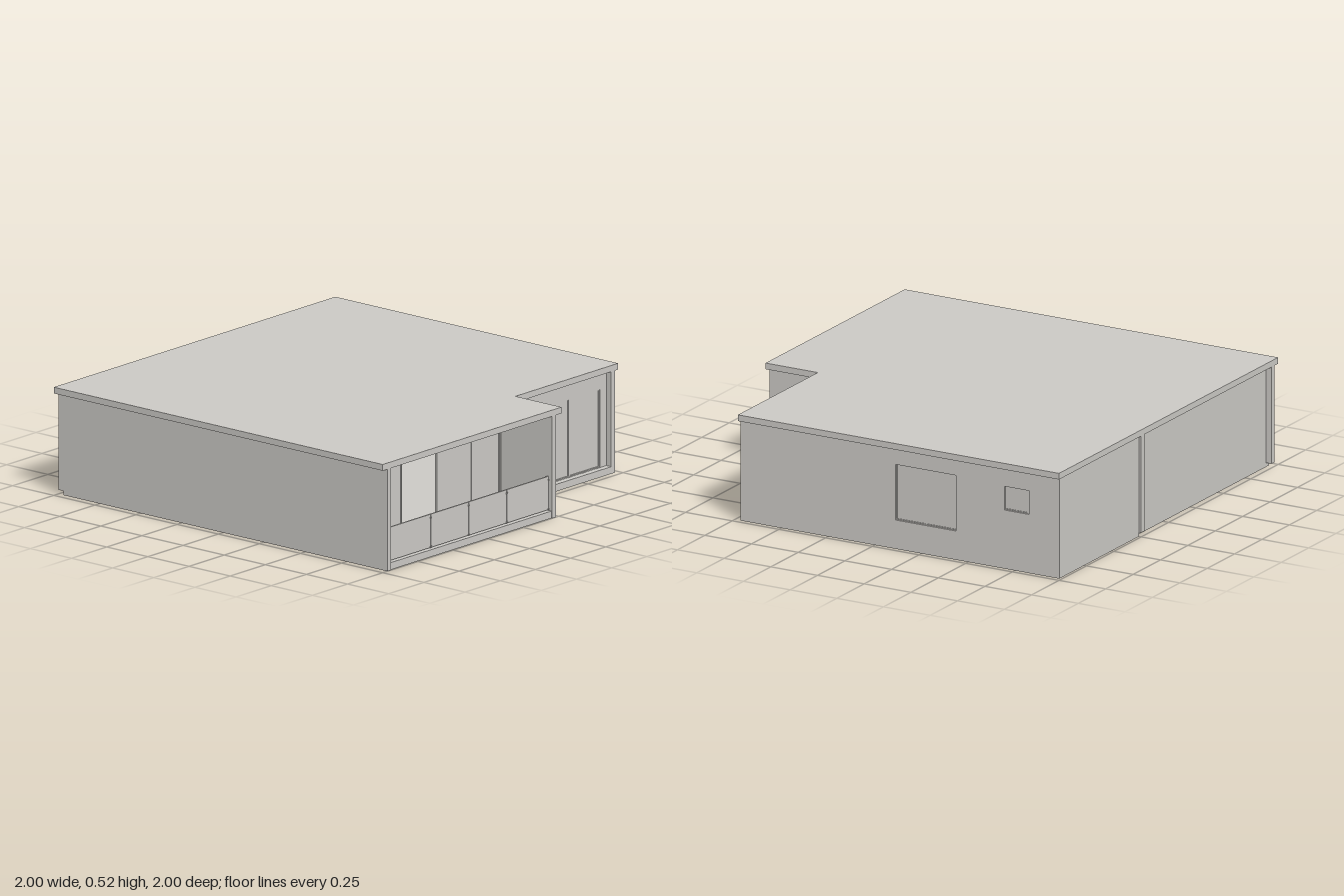
import * as THREE from 'three';

const plaster = new THREE.MeshStandardMaterial({ color: 0xcccac6 });
plaster.name = 'pale grey plaster';

export function createModel() {
  const house = new THREE.Group();
  house.name = 'house';

  // box given by its limits
  function box(name, x0, x1, y0, y1, z0, z1, parent = house) {
    const mesh = new THREE.Mesh(new THREE.BoxGeometry(x1 - x0, y1 - y0, z1 - z0), plaster);
    mesh.position.set((x0 + x1) / 2, (y0 + y1) / 2, (z0 + z1) / 2);
    mesh.name = name;
    parent.add(mesh);
    return mesh;
  }

  // wall from u0 to u1 with rectangular holes [u0, u1, y0, y1]; extruded along +z
  function wall(name, u0, u1, y0, y1, depth, holes) {
    const rect = (Type, a, b, c, d) =>
      new Type([[a, c], [b, c], [b, d], [a, d]].map(p => new THREE.Vector2(...p)));
    const shape = rect(THREE.Shape, u0, u1, y0, y1);
    holes.forEach(h => shape.holes.push(rect(THREE.Path, ...h)));
    const geometry = new THREE.ExtrudeGeometry(shape, { depth, bevelEnabled: false });
    const mesh = new THREE.Mesh(geometry, plaster);
    mesh.name = name;
    house.add(mesh);
    return mesh;
  }

  // framed panes in the local xy plane, thin in z
  function panes(name, u0, u1, y0, y1, edges) {
    const g = new THREE.Group();
    g.name = name;
    const f = 0.005, t = 0.006;
    box('sill', u0, u1, y0, y0 + f, -t, t, g);
    box('head', u0, u1, y1 - f, y1, -t, t, g);
    for (const [a, b] of edges) {
      box('pane', a, b, y0 + f, y1 - f, -0.002, 0.002, g);
      box('stile', a, a + f, y0 + f, y1 - f, -t, t, g);
      box('stile', b - f, b, y0 + f, y1 - f, -t, t, g);
    }
    house.add(g);
    return g;
  }

  // L-shaped flat roof
  const outline = [[-1, 1], [1, 1], [1, -0.27], [0.72, -0.27], [0.72, -1], [-1, -1]];
  const roofShape = new THREE.Shape(outline.map(([x, z]) => new THREE.Vector2(x, -z)));
  const roof = new THREE.Mesh(new THREE.ExtrudeGeometry(roofShape, { depth: 0.03, bevelEnabled: false }), plaster);
  roof.rotation.x = -Math.PI / 2;
  roof.position.y = 0.49;
  roof.name = 'roof';
  house.add(roof);

  // floor slabs
  const top = 0.49;
  box('mainFloor', -0.97, 0.72, 0, 0.034, -0.95, 0.945);
  box('balconyFloor', 0.72, 0.995, 0, 0.034, -0.21, 0.945);

  // front wall, with its raised end, and the two cross wall ends
  box('frontWall', -0.97, 1, 0, top, 0.94, 0.967);
  box('frontWallEnd', -1, -0.97, 0.02, top, 0.94, 0.967);
  box('balconyEndWall', 0.67, 1, 0, top, -0.232, -0.203);
  box('crossWallEnd', -1, -0.96, 0.02, top, -0.25, -0.22);

  // left-hand walls
  box('sideWallFront', -0.97, -0.945, 0, top, -0.22, 0.94);
  box('sideWallBack', -0.988, -0.955, 0, top, -0.95, -0.25);

  // back wall with two windows
  const wide = [-0.435, -0.11, 0.14, 0.41], small = [-0.825, -0.695, 0.285, 0.4];
  wall('backWall', -0.988, 0.72, 0, top, 0.027, [wide, small]).position.z = -0.977;
  panes('wideWindow', ...wide, [[-0.435, -0.272], [-0.272, -0.11]]).position.z = -0.964;
  panes('smallWindow', ...small, [[-0.825, -0.695]]).position.z = -0.964;

  // balcony door wall (u runs along -z after the turn)
  const balconyDoor = [-0.935, 0.195, 0.035, 0.41];
  const doorWall = wall('balconyDoorWall', -0.94, 0.203, 0.034, top, 0.02, [balconyDoor]);
  doorWall.rotation.y = Math.PI / 2;
  doorWall.position.x = 0.67;
  // sliding doors, one bay left open
  const doors = panes('balconyDoors', ...balconyDoor,
    [[-0.935, -0.69], [-0.69, -0.5], [-0.25, 0], [0, 0.195]]);
  doors.rotation.y = Math.PI / 2;
  doors.position.x = 0.682;

  // terrace door wall in the notch
  const terraceDoor = [0.475, 0.905, 0.035, 0.41];
  const terraceWall = wall('terraceDoorWall', 0.23, 0.955, 0.034, top, 0.02, [terraceDoor]);
  terraceWall.rotation.y = Math.PI / 2;
  terraceWall.position.x = 0.67;
  const terraceDoors = panes('terraceDoors', ...terraceDoor, [[0.475, 0.69], [0.69, 0.905]]);
  terraceDoors.rotation.y = Math.PI / 2;
  terraceDoors.position.x = 0.68;

  // balcony railing of four panels
  const seams = [0.935, 0.64, 0.37, 0.1, -0.2];
  for (let i = 0; i < 4; i++) {
    box('railingPanel', 0.975, 0.983, 0.04, 0.2, seams[i + 1] + 0.002, seams[i] - 0.002);
    for (const z of [seams[i] - 0.006, seams[i + 1] + 0.003]) {
      for (const y of [0.04, 0.18]) box('railingClip', 0.972, 0.987, y, y + 0.008, z, z + 0.003);
    }
  }

  // shelves with bottles, seen through the open bay
  const shelves = new THREE.Group();
  shelves.name = 'shelves';
  house.add(shelves);
  for (const y of [0.2, 0.27, 0.345]) box('shelf', -0.4, -0.3, y - 0.005, y, 0.265, 0.5, shelves);
  for (const z of [0.265, 0.415, 0.495]) box('shelfSide', -0.4, -0.3, 0.034, 0.345, z, z + 0.005, shelves);
  const bottleProfile = [[0, 0], [0.006, 0], [0.006, 0.024], [0.002, 0.031], [0.002, 0.04], [0, 0.04]];
  const bottle = new THREE.LatheGeometry(bottleProfile.map(p => new THREE.Vector2(...p)), 8);
  for (const y of [0.2, 0.27]) {
    for (let i = 0; i < 10; i++) {
      if (i === 4) continue;
      const mesh = new THREE.Mesh(bottle, plaster);
      mesh.name = 'bottle';
      mesh.position.set(-0.33, y, 0.3 + i * 0.019);
      shelves.add(mesh);
    }
  }
  return house;
}
